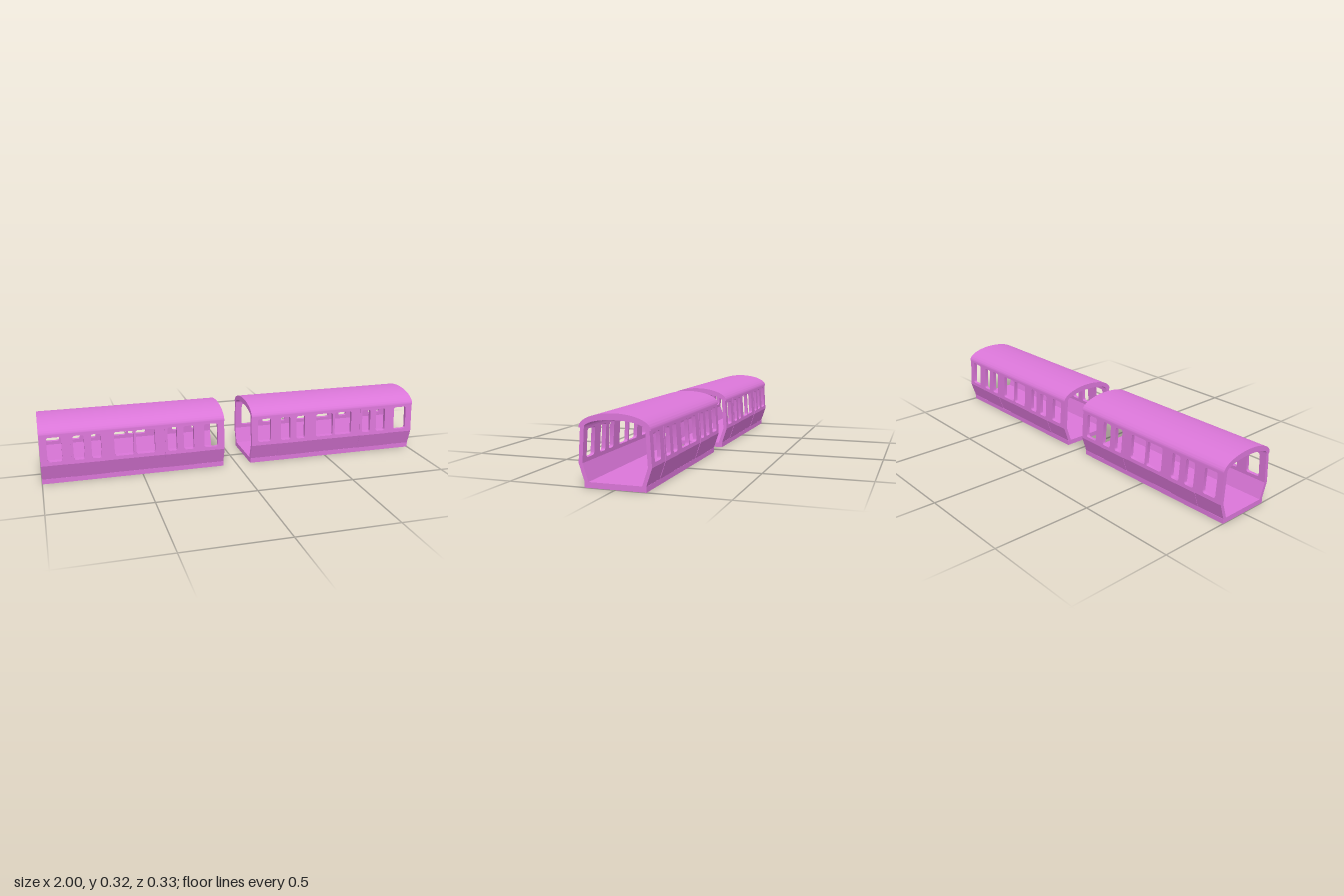
import * as THREE from 'three';
import { toCreasedNormals } from 'three/addons/utils/BufferGeometryUtils.js';

const LEN = 0.926, FLOOR = 0.025, WAIST = 0.103, EAVES = 0.256;
const material = new THREE.MeshStandardMaterial({ color: 0xda76d8, side: THREE.DoubleSide });

const mesh = (geometry, name) => {
  const m = new THREE.Mesh(geometry, material);
  m.name = name;
  return m;
};

// Window spans along one half of a carriage; the other half is mirrored
const half = [[0.035, 0.106], [0.161, 0.214], [0.249, 0.297], [0.361, 0.457]];
const windows = [...half, ...half.map(([a, b]) => [LEN - b, LEN - a])];

// Wall bays: [start, end, raised]; the raised bays are the doors
const bays = [
  [0, 0.148, 0], [0.148, 0.31, 0.002], [0.31, LEN - 0.31, 0],
  [LEN - 0.31, LEN - 0.148, 0.002], [LEN - 0.148, LEN, 0],
];

function roundedRect(path, x0, y0, x1, y1, r) {
  path.moveTo(x0 + r, y0);
  path.lineTo(x1 - r, y0).quadraticCurveTo(x1, y0, x1, y0 + r);
  path.lineTo(x1, y1 - r).quadraticCurveTo(x1, y1, x1 - r, y1);
  path.lineTo(x0 + r, y1).quadraticCurveTo(x0, y1, x0, y1 - r);
  path.lineTo(x0, y0 + r).quadraticCurveTo(x0, y0, x0 + r, y0);
  return path;
}

// Upright panel leaned so that its inner and outer faces follow the wall slope
function panel(x0, x1, y0, y1, inner, outer, raise, holes) {
  const shape = new THREE.Shape();
  shape.moveTo(x0, y0).lineTo(x1, y0).lineTo(x1, y1).lineTo(x0, y1).closePath();
  shape.holes = holes;
  let g = new THREE.ExtrudeGeometry(shape, { depth: 1, bevelEnabled: false, curveSegments: 5 });
  const p = g.attributes.position;
  for (let i = 0; i < p.count; i++) {
    const k = (p.getY(i) - y0) / (y1 - y0);
    const zi = THREE.MathUtils.lerp(inner[0], inner[1], k);
    const zo = THREE.MathUtils.lerp(outer[0], outer[1], k) + raise;
    p.setXYZ(i, p.getX(i) - LEN / 2, p.getY(i), THREE.MathUtils.lerp(zi, zo, p.getZ(i)));
  }
  g.computeVertexNormals();
  return toCreasedNormals(g, 0.6);
}

function sideWall(name) {
  const wall = new THREE.Group();
  wall.name = name;
  for (const [x0, x1, raise] of bays) {
    const kind = raise ? 'door' : 'wall';
    const holes = windows.filter(([a, b]) => a > x0 && b < x1)
      .map(([a, b]) => roundedRect(new THREE.Path(), a, 0.121, b, 0.244, 0.012));
    wall.add(mesh(panel(x0, x1, WAIST, EAVES, [0.147, 0.137], [0.165, 0.155], raise, holes), kind + 'Upper'));
    wall.add(mesh(panel(x0, x1, FLOOR, WAIST, [0.121, 0.147], [0.139, 0.165], raise, []), kind + 'Lower'));
  }
  return wall;
}

// Curved roof shell with a small overhang at the eaves
function roofGeometry() {
  const s = new THREE.Shape();
  s.moveTo(0.161, 0.253);
  s.absellipse(0, 0.256, 0.161, 0.063, 0, Math.PI, false, 0);
  s.lineTo(-0.161, 0.253);
  s.lineTo(-0.137, 0.253);
  s.absellipse(0, 0.256, 0.137, 0.035, Math.PI, 0, true, 0);
  s.lineTo(0.137, 0.253);
  s.closePath();
  const g = new THREE.ExtrudeGeometry(s, { depth: LEN, bevelEnabled: false, curveSegments: 32 });
  g.translate(0, 0, -LEN / 2).rotateY(Math.PI / 2);
  return toCreasedNormals(g, 0.6);
}

function carriage(name) {
  const car = new THREE.Group();
  car.name = name;
  const floor = mesh(new THREE.BoxGeometry(LEN, FLOOR, 0.28), 'floor');
  floor.position.y = FLOOR / 2;
  const back = sideWall('backWall');
  back.rotation.y = Math.PI;
  car.add(floor, sideWall('frontWall'), back, mesh(roofGeometry(), 'roof'));
  return car;
}

export function createModel() {
  const model = new THREE.Group();
  model.name = 'railCarriages';
  for (const side of [-1, 1]) {
    const car = carriage(side < 0 ? 'rightCarriage' : 'leftCarriage');
    car.position.x = side * (1 - LEN / 2);
    model.add(car);
  }
  return model;
}
